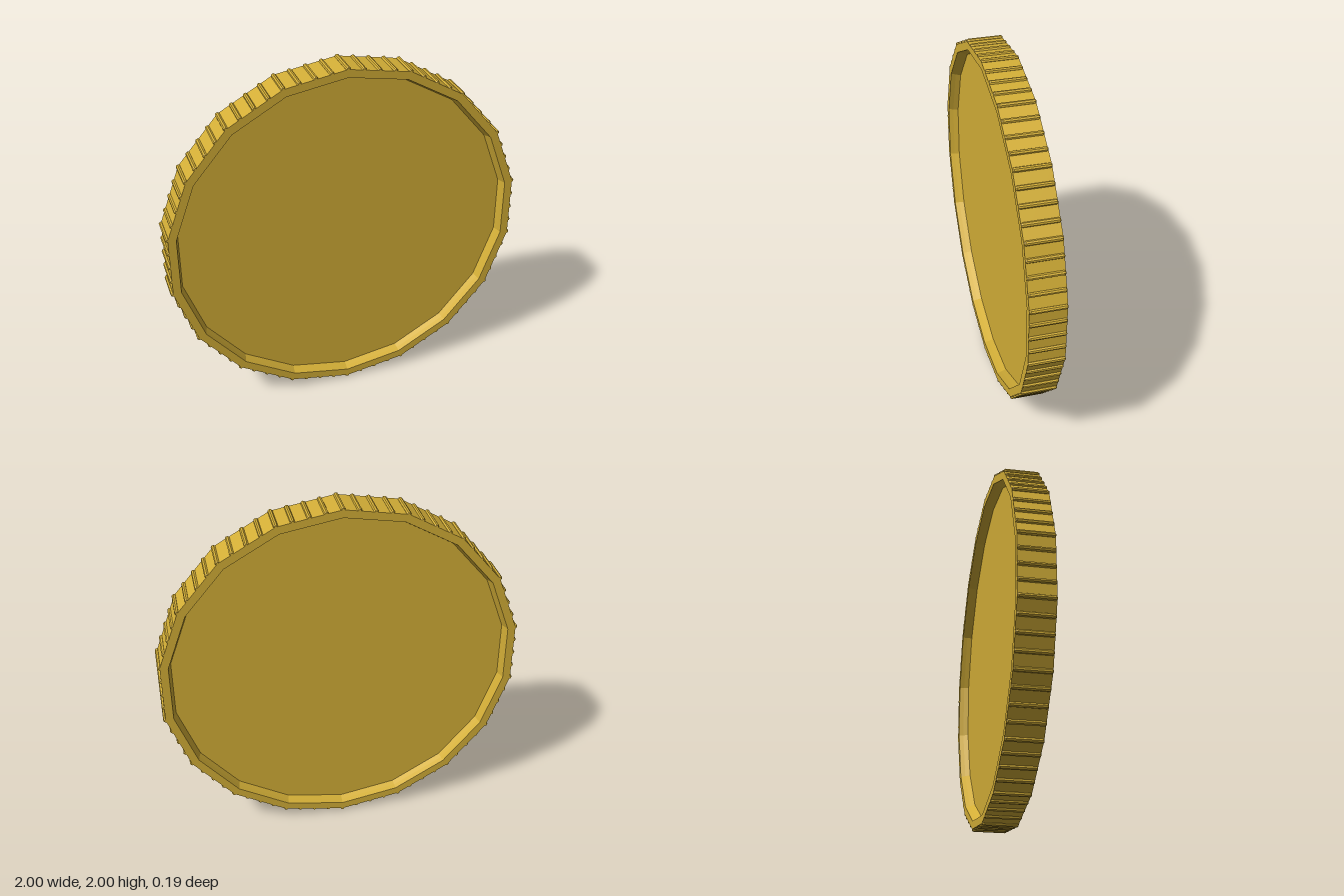
import * as THREE from 'three';

const SIDES = 18;
const RIDGES_PER_SIDE = 4;
const RX = 1.001; // corner radius along x
const RY = 0.987; // corner radius along y
const HALF = 0.096; // half thickness

const v2 = (x, y) => new THREE.Vector2(x, y);

// Mirrors the front half of a lathe profile to the back
const mirrored = (front) => [...front.map((p) => v2(p.x, -p.y)).reverse(), ...front];

// Corner of the rim polygon, first corner at the top
function corner(i) {
  const a = Math.PI / 2 - (i / SIDES) * Math.PI * 2;
  return v2(Math.cos(a) * RX, Math.sin(a) * RY);
}

export function createModel() {
  const coin = new THREE.Group();
  coin.name = 'coin';
  const gold = new THREE.MeshStandardMaterial({ color: 0xd4af37, flatShading: true });

  // Disc with a raised rim and a recessed face on both sides
  const profile = mirrored([
    v2(1, HALF), v2(0.955, HALF), v2(0.948, 0.07), v2(0.938, 0.042), v2(0, 0.042),
  ]);
  const discGeometry = new THREE.LatheGeometry(profile, SIDES);
  discGeometry.rotateX(Math.PI / 2);
  discGeometry.scale(RX, RY, 1);
  const disc = new THREE.Mesh(discGeometry, gold);
  disc.name = 'disc';
  coin.add(disc);

  // Thin ridges with bevelled ends, spaced evenly along each flat of the edge
  const ridgeGeometry = new THREE.LatheGeometry(
    mirrored([v2(0.013, HALF - 0.008), v2(0.008, HALF), v2(0, HALF)]), 8);
  ridgeGeometry.rotateX(Math.PI / 2);
  const ridges = new THREE.Group();
  ridges.name = 'edgeRidges';
  for (let i = 0; i < SIDES; i++) {
    for (let j = 0; j < RIDGES_PER_SIDE; j++) {
      const p = corner(i).lerp(corner(i + 1), j / RIDGES_PER_SIDE);
      const ridge = new THREE.Mesh(ridgeGeometry, gold);
      ridge.name = 'ridge';
      ridge.position.set(p.x, p.y, 0);
      ridge.rotation.z = Math.atan2(p.y, p.x);
      ridges.add(ridge);
    }
  }
  coin.add(ridges);

  coin.position.y = 1;
  const model = new THREE.Group();
  model.add(coin);
  return model;
}
